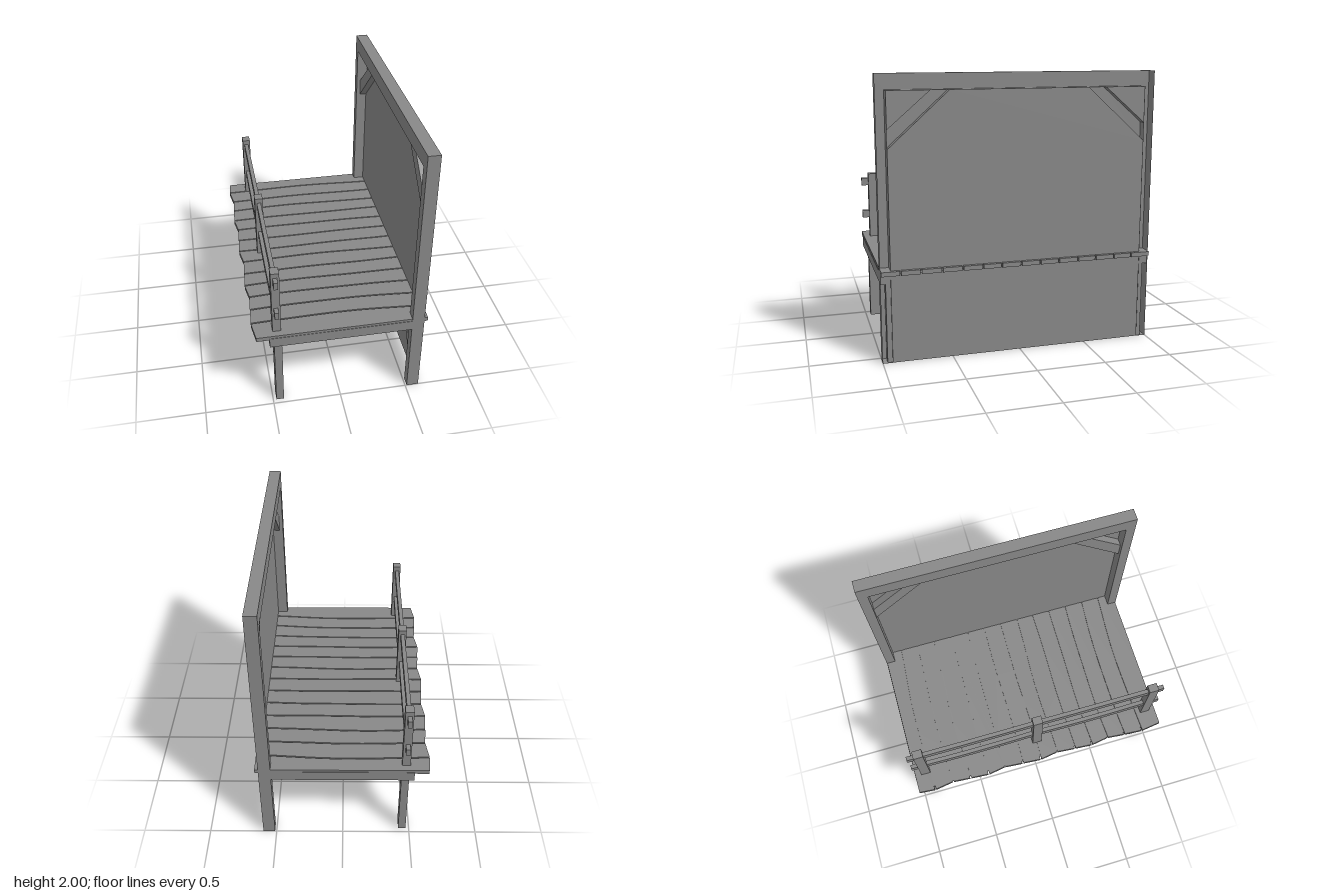
import * as THREE from 'three';

const mat = new THREE.MeshStandardMaterial({ color: 0x888888, flatShading: true, side: THREE.DoubleSide });

export function createModel() {
  const root = new THREE.Group();
  const add = (name, geo) => {
    const m = new THREE.Mesh(geo, mat);
    m.name = name;
    root.add(m);
    return m;
  };
  // box given by its limits
  const box = (name, x0, x1, y0, y1, z0, z1) => {
    const m = add(name, new THREE.BoxGeometry(x1 - x0, y1 - y0, z1 - z0));
    m.position.set((x0 + x1) / 2, (y0 + y1) / 2, (z0 + z1) / 2);
  };
  const shape = pts => new THREE.Shape(pts.map(p => new THREE.Vector2(p[0], p[1])));

  // timber outline in the wall plane, pushed out in x; hollow ones have no back
  const timber = (name, pts, x0, x1, hollow) => {
    const depth = x1 - x0;
    const g = new THREE.ExtrudeGeometry(shape(pts), { depth, bevelEnabled: false });
    if (hollow) {
      const p = g.attributes.position, keep = [];
      for (let i = 0; i < p.count; i += 3) {
        const atBack = [0, 1, 2].every(k => p.getZ(i + k) > depth - 1e-5);
        if (!atBack) keep.push(i, i + 1, i + 2);
      }
      g.setIndex(keep);
    }
    g.rotateY(Math.PI / 2);
    g.translate(x0, 0, 0);
    add(name, g);
  };

  // wall: hollow frame, corner braces and plaster panels at the back plane
  timber('wallFrame', [[-1, 0], [-0.93, 0], [-0.93, 1.89], [0.93, 1.89], [0.93, 0], [1, 0], [1, 2], [-1, 2]], 0.512, 0.6, true);
  timber('wallPanel', [[-0.93, 0], [0.93, 0], [0.93, 1.5], [0.5, 1.89], [-0.5, 1.89], [-0.93, 1.5]], 0.593, 0.598);
  for (const s of [1, -1]) {
    timber('cornerBrace', [[0.93 * s, 1.5], [0.93 * s, 1.63], [0.63 * s, 1.89], [0.5 * s, 1.89]], 0.54, 0.598, true);
    timber('cornerPanel', [[0.93 * s, 1.63], [0.93 * s, 1.89], [0.63 * s, 1.89]], 0.593, 0.598);
  }

  // deck boards with bowed edges and uneven front ends
  const bows = [0, 0.02, 0.012, 0.02, 0.008, 0.014, 0.003, 0, 0.015, 0.006, 0.012, 0.02, 0.026, 0.025, 0];
  const N = bows.length - 1;
  const edge = (i, x) => {
    const z = -1 + (2 * i) / N;
    if (i === 0 || i === N) return z * 0.997;
    return z - 0.006 - bows[i] * Math.cos((x + 0.15) * 2.6) - 0.003 * Math.sin(x * 7 + i);
  };
  const endX = i => -0.613 - 0.012 * Math.sin(i * 2.1);
  for (let i = 0; i < N; i++) {
    const near = [], far = [];
    const g0 = i > 0 ? 0.005 : 0, g1 = i < N - 1 ? 0.005 : 0;
    for (let k = 0; k <= 8; k++) {
      const t = k / 8;
      const xa = THREE.MathUtils.lerp(endX(i), 0.625, t);
      const xb = THREE.MathUtils.lerp(endX(i + 1), 0.625, t);
      near.push([xa, -(edge(i, xa) + g0)]);
      far.unshift([xb, -(edge(i + 1, xb) - g1)]);
    }
    const g = new THREE.ExtrudeGeometry(shape([...near, ...far]), { depth: 0.032, bevelEnabled: false });
    g.rotateX(-Math.PI / 2);
    g.translate(0, 0.635, 0);
    add('deckBoard', g);
  }
  // tongues closing the gaps between the boards
  box('boardTongues', -0.595, 0.608, 0.643, 0.658, -0.95, 0.95);

  // beams under the deck
  for (const s of [1, -1]) {
    box('sideBeam', -0.51, 0.59, 0.57, 0.648, s > 0 ? 0.93 : -1, s > 0 ? 1 : -0.93);
  }
  box('outerBeam', -0.49, -0.41, 0.57, 0.636, -0.93, 0.93);
  box('wallBeam', 0.52, 0.59, 0.57, 0.636, -0.93, 0.93);

  // legs and their knee braces
  for (const x of [-0.448, 0.56]) {
    for (const s of [1, -1]) {
      const zs = [0.875 * s, 0.965 * s].sort((a, b) => a - b);
      box('leg', x - 0.028, x + 0.028, 0, 0.575, zs[0], zs[1]);
      timber('kneeBrace', [[0.88 * s, 0.25], [0.88 * s, 0.36], [0.74 * s, 0.575], [0.67 * s, 0.575]], x - 0.023, x + 0.023);
    }
  }

  // railing: three posts and two rails sagging between them
  for (const z of [-0.912, 0.003, 0.912]) {
    box('railPost', -0.482, -0.422, 0.65, 1.175, z - 0.036, z + 0.036);
  }
  for (const [y, sag] of [[1.11, 0.006], [0.848, 0.022]]) {
    const g = new THREE.BoxGeometry(0.03, 0.058, 2, 1, 1, 24);
    const p = g.attributes.position;
    for (let i = 0; i < p.count; i++) {
      const t = Math.min(Math.abs(p.getZ(i)) / 0.91, 1);
      p.setY(i, p.getY(i) - sag * Math.sin(Math.PI * t));
    }
    add('rail', g).position.set(-0.453, y, 0);
  }
  return root;
}
